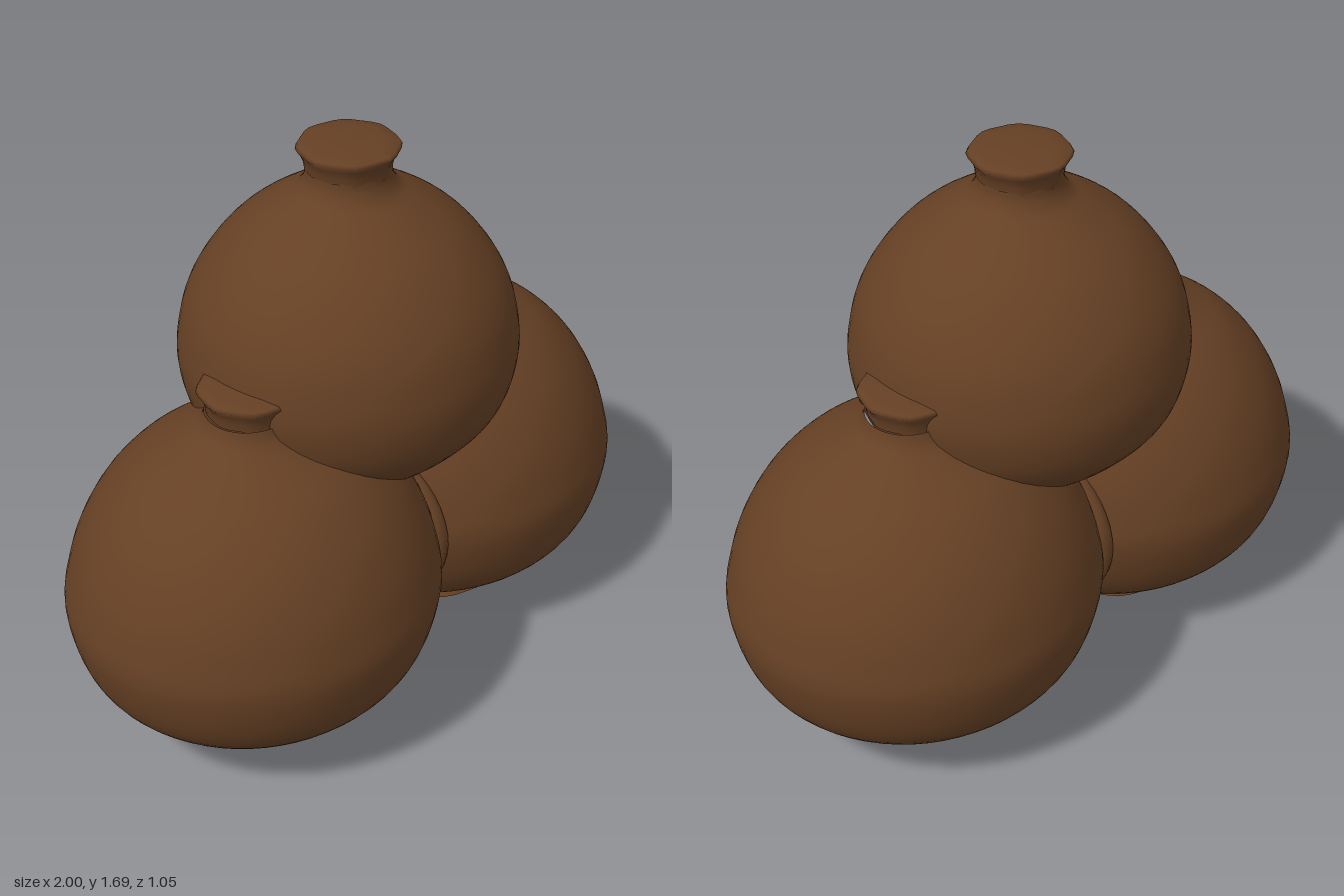
import * as THREE from 'three';

const clay = new THREE.MeshStandardMaterial({ color: 0x654024 });
clay.name = 'brown clay';

// Smooth lathe through [radius, height] points, bottom to top
function turned(name, points, steps, sides) {
  const curve = new THREE.SplineCurve(points.map(([r, y]) => new THREE.Vector2(r, y)));
  const profile = curve.getPoints(steps).map(p => new THREE.Vector2(Math.max(p.x, 0), p.y));
  const mesh = new THREE.Mesh(new THREE.LatheGeometry(profile, sides), clay);
  mesh.name = name;
  return mesh;
}

// Lathe with straight segments and a slightly wavy edge
function wavyTurned(name, points, sides, wave) {
  const geometry = new THREE.LatheGeometry(points.map(([r, y]) => new THREE.Vector2(r, y)), sides);
  const p = geometry.attributes.position;
  for (let i = 0; i < p.count; i++) {
    const a = Math.atan2(p.getZ(i), p.getX(i));
    const k = 1 + wave * Math.cos(8 * a);
    p.setX(i, p.getX(i) * k);
    p.setZ(i, p.getZ(i) * k);
  }
  geometry.computeVertexNormals();
  const mesh = new THREE.Mesh(geometry, clay);
  mesh.name = name;
  return mesh;
}

const lowerBody = [
  [0, 0.07], [0.1, 0.072], [0.2, 0.088], [0.31, 0.125], [0.42, 0.2], [0.49, 0.3], [0.525, 0.45],
  [0.51, 0.56], [0.48, 0.66], [0.43, 0.76], [0.37, 0.84], [0.3, 0.905], [0.2, 0.965], [0.14, 1.01], [0.122, 1.05],
];
const upperBody = [
  [0, 0.66], [0.18, 0.68], [0.29, 0.735], [0.38, 0.815], [0.45, 0.91], [0.48, 1.04], [0.468, 1.16],
  [0.44, 1.25], [0.395, 1.33], [0.34, 1.4], [0.28, 1.455], [0.2, 1.51], [0.145, 1.545], [0.122, 1.58], [0.118, 1.61],
];

// Flared collar closed by a low lid, starting at height y
function neck(y) {
  return wavyTurned('neck', [
    [0.119, y], [0.122, y + 0.025], [0.132, y + 0.05], [0.144, y + 0.066],
    [0.138, y + 0.076], [0.1, y + 0.084], [0, y + 0.086],
  ], 32, 0.02);
}

function lowerPot(side) {
  const pot = new THREE.Group();
  pot.name = side > 0 ? 'leftPot' : 'rightPot';
  const body = turned('lowerBody', lowerBody, 56, 64);
  body.scale.x = 1.066;
  const collar = neck(1.045);
  // Thin foot disc on a short stem
  const foot = wavyTurned('foot', [
    [0, 0], [0.21, 0.002], [0.222, 0.01], [0.2, 0.02], [0.12, 0.034],
    [0.04, 0.042], [0.018, 0.052], [0.022, 0.08],
  ], 32, 0.015);
  pot.add(body, collar, foot);
  pot.position.x = side * 0.44;
  return pot;
}

export function createModel() {
  const model = new THREE.Group();
  model.name = 'stackedPots';
  model.add(lowerPot(1), lowerPot(-1));

  // Upper pot resting in the saddle between the lower two
  const upper = new THREE.Group();
  upper.name = 'upperPot';
  const body = turned('upperBody', upperBody, 56, 64);
  body.scale.x = 1.04;
  upper.add(body, neck(1.6));
  model.add(upper);

  // Soft web filling the groove between the lower pots
  const web = new THREE.Mesh(new THREE.SphereGeometry(1, 32, 24), clay);
  web.name = 'joinWeb';
  web.scale.set(0.1, 0.3, 0.36);
  web.position.y = 0.465;
  model.add(web);
  return model;
}
